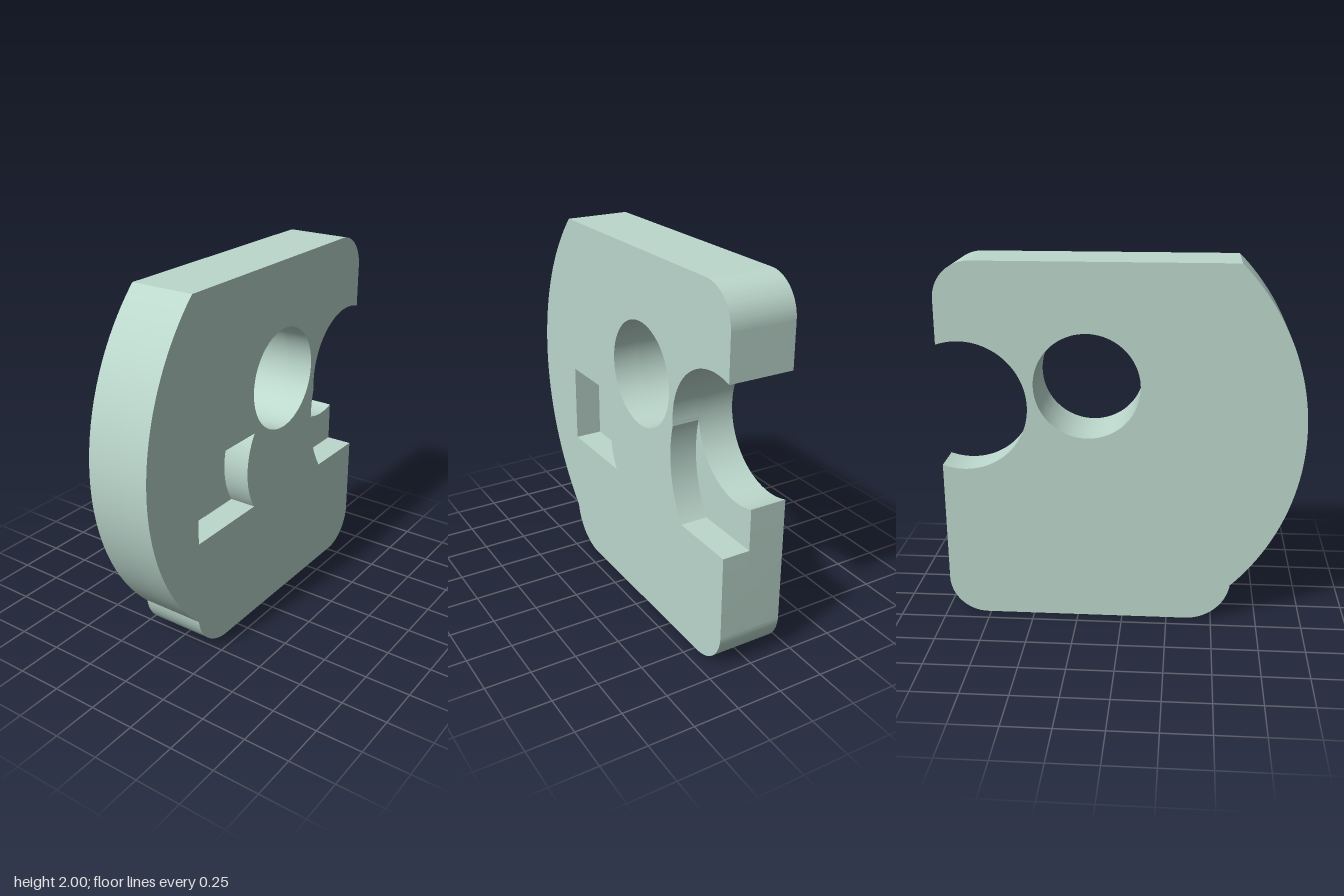
import * as THREE from 'three';
import { toCreasedNormals } from 'three/addons/utils/BufferGeometryUtils.js';

// Profiles are drawn in (u, y) with u = -z, then extruded across x.
const HALF_WIDTH = 0.178;
const FLOOR_X = 0.025; // floor of the pocket and of the notch step
const BACK = 0.978;

// Arc around (cx, cy) between two points; the radius is taken from the first.
function arc(path, cx, cy, [u0, y0], [u1, y1], clockwise = false) {
  path.absarc(cx, cy, Math.hypot(u0 - cx, y0 - cy),
    Math.atan2(y0 - cy, u0 - cx), Math.atan2(y1 - cy, u1 - cx), clockwise);
}

function plateProfile(stepped) {
  const s = new THREE.Shape();
  s.moveTo(-0.355, 0);
  // bottom back corner
  arc(s, BACK - 0.21, 0.21, [BACK - 0.21, 0], [BACK, 0.21]);
  // round notch in the back edge, with a curved step below it on one side
  let notchStart = [BACK, 0.89];
  if (stepped) {
    notchStart = [0.508, 1.18];
    s.lineTo(BACK, 0.663);
    s.lineTo(0.599, 0.663);
    arc(s, 1.112, 1.02, [0.599, 0.663], notchStart, true);
  }
  arc(s, 0.86, 1.225, notchStart, [BACK, 1.56], true);
  // top back corner, then the bowed front edge
  arc(s, BACK - 0.2, 1.8, [BACK, 1.8], [BACK - 0.2, 2]);
  s.lineTo(-0.605, 2);
  arc(s, 0.278, 1.107, [-0.605, 2], [-0.603, 0.215]);
  // bottom front corner
  arc(s, -0.355, 0.25, [-0.603, 0.215], [-0.355, 0]);

  // round through hole
  const hole = new THREE.Path();
  hole.absarc(0.185, 1.345, 0.285, 0, Math.PI * 2);
  s.holes.push(hole);

  // pocket with one curved end
  if (stepped) {
    const pocket = new THREE.Path();
    pocket.moveTo(-0.59, 0.68);
    pocket.lineTo(-0.09, 0.68);
    arc(pocket, 0.25, 0.9, [-0.09, 0.68], [-0.09, 1.12], true);
    pocket.lineTo(-0.59, 1.12);
    pocket.closePath();
    s.holes.push(pocket);
  }
  return s;
}

function layer(name, profile, x0, x1, material) {
  const geometry = new THREE.ExtrudeGeometry(profile, {
    depth: x1 - x0, bevelEnabled: false, curveSegments: 40,
  });
  geometry.rotateY(Math.PI / 2);
  geometry.translate(x0, 0, 0);
  const mesh = new THREE.Mesh(toCreasedNormals(geometry, 0.35), material);
  mesh.name = name;
  return mesh;
}

export function createModel() {
  const group = new THREE.Group();
  group.name = 'notchedPlate';
  const material = new THREE.MeshStandardMaterial({ color: 0xbcd8cd });
  group.add(
    layer('solidLayer', plateProfile(false), -HALF_WIDTH, FLOOR_X, material),
    layer('pocketedLayer', plateProfile(true), FLOOR_X, HALF_WIDTH, material),
  );
  return group;
}
